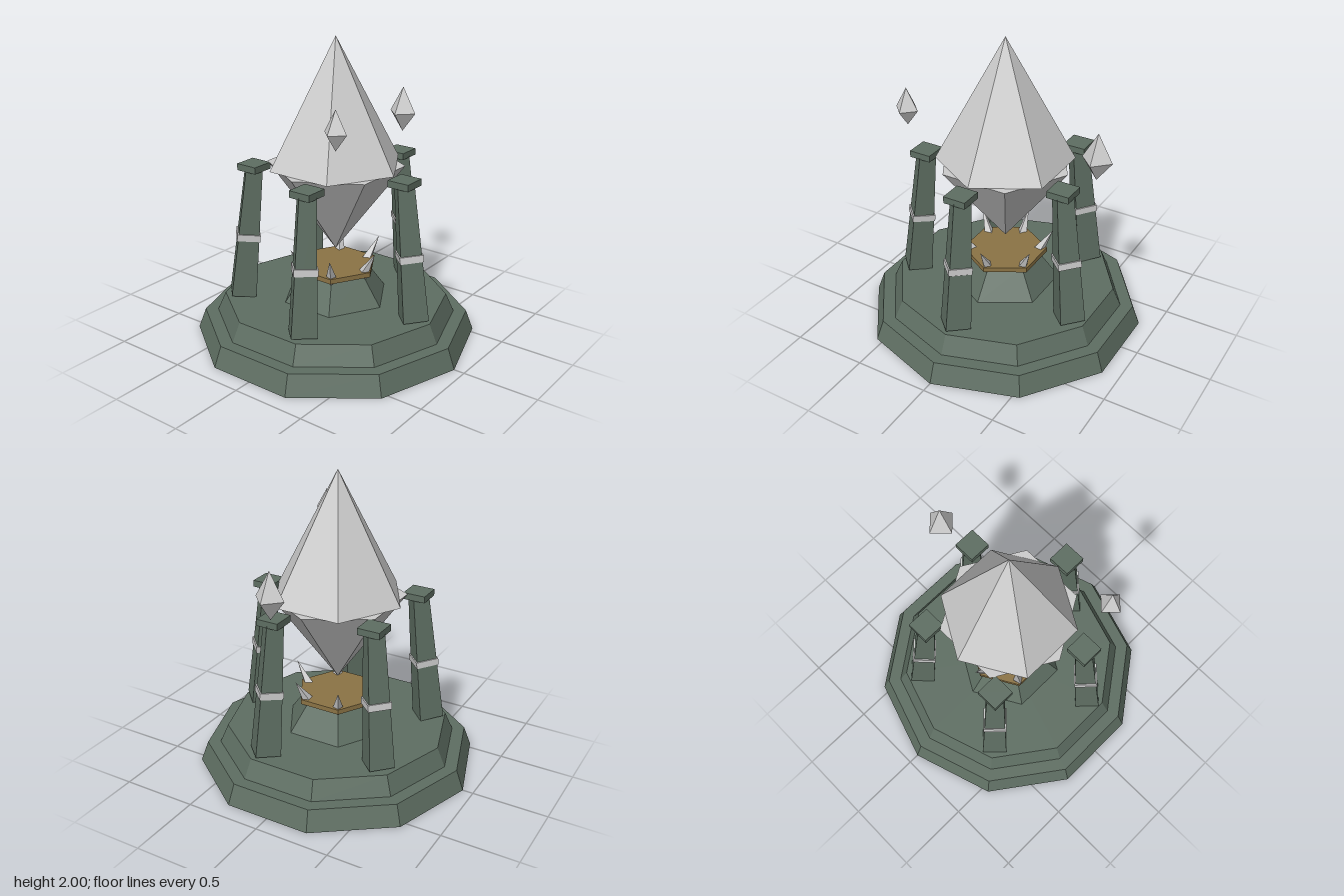
import * as THREE from 'three';

const material = (name, color) => {
  const m = new THREE.MeshStandardMaterial({ color, flatShading: true });
  m.name = name;
  return m;
};

export function createModel() {
  const stone = material('green stone', 0x5e6e62);
  const crystal = material('pale crystal', 0xcccccc);
  const gold = material('old gold', 0x8b7345);

  const model = new THREE.Group();
  model.name = 'crystalShrine';

  const add = (parent, name, geometry, mat, x = 0, y = 0, z = 0) => {
    const mesh = new THREE.Mesh(geometry, mat);
    mesh.name = name;
    mesh.position.set(x, y, z);
    parent.add(mesh);
    return mesh;
  };
  // Straight-sided tier standing on y0 and reaching y1
  const tier = (name, rTop, rBottom, y0, y1, sides, mat) =>
    add(model, name, new THREE.CylinderGeometry(rTop, rBottom, y1 - y0, sides), mat, 0, (y0 + y1) / 2, 0);

  // Stepped base, pedestal and gold dish
  tier('lowerStep', 0.88, 0.93, 0, 0.135, 10, stone);
  tier('upperStep', 0.74, 0.795, 0.135, 0.26, 10, stone);
  tier('pedestal', 0.22, 0.36, 0.26, 0.455, 6, stone);
  tier('goldDish', 0.28, 0.28, 0.455, 0.488, 6, gold);

  // Main crystal: upper point, and lower point turned by half a side
  add(model, 'crystalTop', new THREE.ConeGeometry(0.447, 0.822, 6), crystal, 0, 1.589, 0);
  const lower = new THREE.ConeGeometry(0.445, 0.588, 6);
  lower.rotateX(Math.PI).rotateY(Math.PI / 6);
  add(model, 'crystalBottom', lower, crystal, 0, 0.884, 0);

  // Five pillars leaning inward, each with a band and a level cap
  const up = new THREE.Vector3(0, 1, 0);
  const shaft = new THREE.CylinderGeometry(0.075, 0.115, 0.88, 4);
  const band = new THREE.CylinderGeometry(0.107, 0.107, 0.045, 4);
  const cap = new THREE.BoxGeometry(0.15, 0.044, 0.15);
  for (let i = 0; i < 5; i++) {
    const a = (i * Math.PI * 2) / 5;
    const sx = Math.sin(a), cz = Math.cos(a);
    const pillar = new THREE.Group();
    pillar.name = 'pillar';
    const lean = new THREE.Vector3(-sx * 0.107, 1, -cz * 0.107).normalize();
    add(pillar, 'pillarShaft', shaft, stone, sx * 0.572, 0.705, cz * 0.572).quaternion.setFromUnitVectors(up, lean);
    add(pillar, 'pillarBand', band, crystal, sx * 0.575, 0.683, cz * 0.575).quaternion.setFromUnitVectors(up, lean);
    add(pillar, 'pillarCap', cap, stone, sx * 0.525, 1.156, cz * 0.525);
    model.add(pillar);
  }

  // Six spikes flaring out of the dish
  const spike = new THREE.ConeGeometry(0.04, 0.2, 4);
  for (let i = 0; i < 6; i++) {
    const a = (i * Math.PI) / 3;
    const holder = new THREE.Group();
    holder.name = 'spike';
    holder.rotation.y = a;
    add(holder, 'spikeCone', spike, crystal, 0, 0.54, 0.267).rotation.x = 0.53;
    model.add(holder);
  }

  // Floating shards: two four-sided points joined at the waist
  const shard = (x, y, z, r, above, below) => {
    const g = new THREE.Group();
    g.name = 'floatingShard';
    add(g, 'shardTop', new THREE.ConeGeometry(r, above, 4, 1, true), crystal, 0, above / 2, 0);
    add(g, 'shardBottom', new THREE.ConeGeometry(r, below, 4, 1, true).rotateX(Math.PI), crystal, 0, -below / 2, 0);
    g.position.set(x, y, z);
    model.add(g);
  };
  shard(0.67, 1.383, 0.068, 0.1, 0.175, 0.135);
  shard(-0.483, 1.557, 0.363, 0.08, 0.14, 0.108);

  return model;
}
